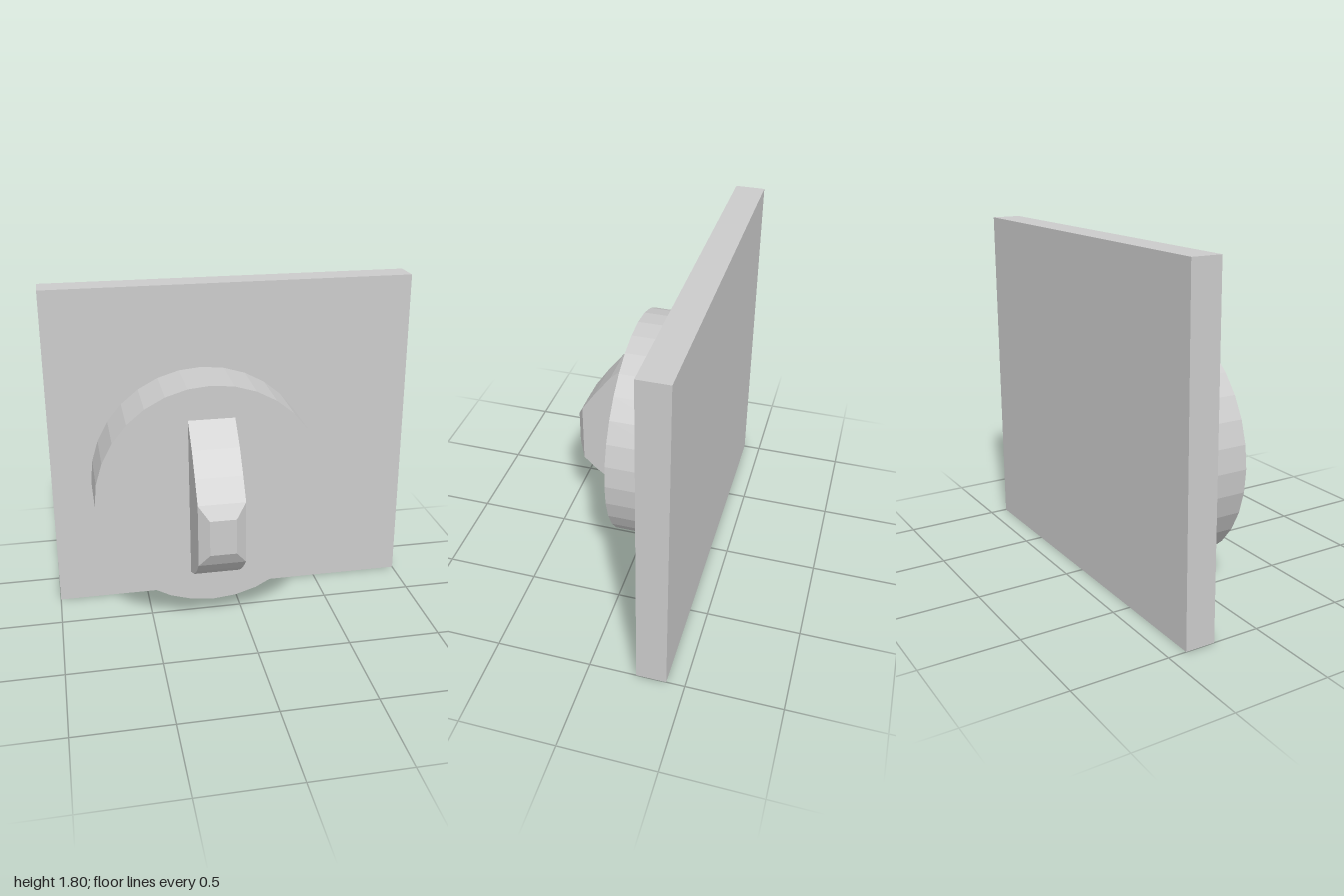
import * as THREE from 'three';

const grey = new THREE.MeshStandardMaterial({ color: 0xcccccc, flatShading: true });

function addPart(group, name, geometry, x, y, z) {
  const mesh = new THREE.Mesh(geometry, grey);
  mesh.name = name;
  mesh.position.set(x, y, z);
  group.add(mesh);
}

// Joins rectangular sections, stacked from back to front, into a closed solid
function loftSections(sections) {
  const positions = [];
  const index = [];
  for (const [z, halfWidth, bottom, top] of sections) {
    positions.push(-halfWidth, bottom, z, halfWidth, bottom, z, halfWidth, top, z, -halfWidth, top, z);
  }
  for (let s = 0; s < sections.length - 1; s++) {
    for (let i = 0; i < 4; i++) {
      const a = s * 4 + i;
      const b = s * 4 + (i + 1) % 4;
      index.push(a, b, b + 4, a, b + 4, a + 4);
    }
  }
  const e = (sections.length - 1) * 4;
  index.push(0, 2, 1, 0, 3, 2, e, e + 1, e + 2, e, e + 2, e + 3);
  const indexed = new THREE.BufferGeometry();
  indexed.setAttribute('position', new THREE.Float32BufferAttribute(positions, 3));
  indexed.setIndex(index);
  const geometry = indexed.toNonIndexed();
  geometry.computeVertexNormals();
  return geometry;
}

export function createModel() {
  const group = new THREE.Group();
  group.name = 'wallSwitch';
  const dialX = -0.163;
  const plateFront = -0.247;
  const dialFront = 0.079;

  // Square wall plate
  const plateDepth = 0.157;
  addPart(group, 'wallPlate', new THREE.BoxGeometry(2, 1.8, plateDepth), 0, 0.9, plateFront - plateDepth / 2);

  // Round base, set off-centre on the plate
  const disc = new THREE.CylinderGeometry(0.623, 0.623, dialFront - plateFront, 32);
  disc.rotateX(Math.PI / 2);
  addPart(group, 'roundBase', disc, dialX, 0.725, (dialFront + plateFront) / 2);

  // Curved grip with a chamfered nose: [z, half width, bottom y, top y]
  const grip = loftSections([
    [dialFront, 0.124, 0.285, 1.167],
    [0.2, 0.124, 0.338, 1.049],
    [0.29, 0.124, 0.404, 0.93],
    [0.366, 0.124, 0.477, 0.816],
    [0.404, 0.069, 0.549, 0.742],
  ]);
  addPart(group, 'grip', grip, dialX, 0, 0);

  return group;
}
